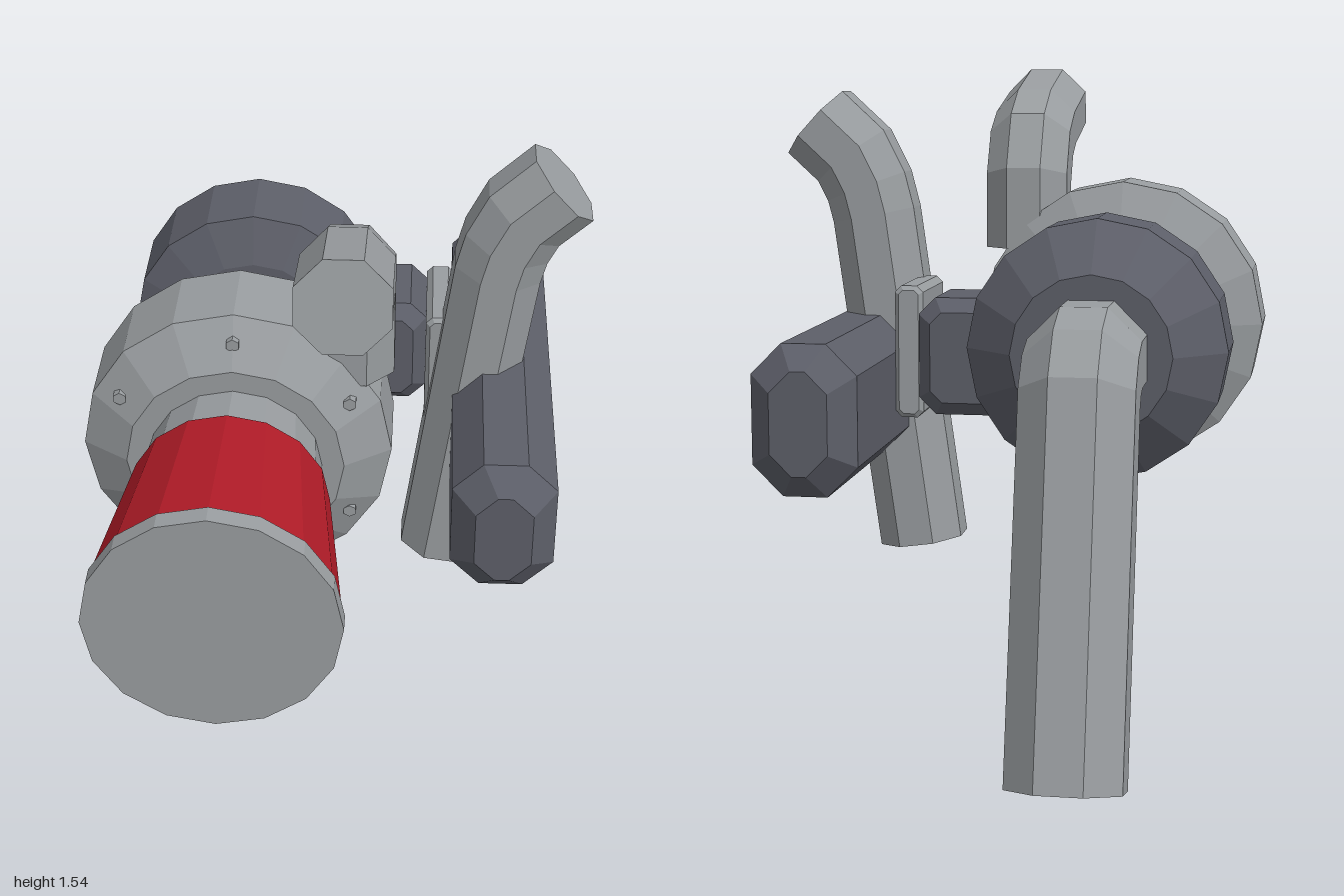
import * as THREE from 'three';

const mat = (name, color) => {
  const m = new THREE.MeshStandardMaterial({ color, flatShading: true });
  m.name = name;
  return m;
};

const AXIS_X = -0.225, AXIS_Y = 0.908;

// Skin a list of equal-sized rings and close both ends
function loft(rings) {
  const n = rings[0].length, pos = [], idx = [];
  rings.forEach(r => r.forEach(p => pos.push(p.x, p.y, p.z)));
  for (let i = 0; i < rings.length - 1; i++) {
    for (let j = 0; j < n; j++) {
      const a = i * n + j, b = i * n + (j + 1) % n;
      idx.push(a, b, b + n, a, b + n, a + n);
    }
  }
  const last = (rings.length - 1) * n;
  for (let j = 1; j < n - 1; j++) {
    idx.push(0, j + 1, j, last, last + j, last + j + 1);
  }
  const g = new THREE.BufferGeometry();
  g.setAttribute('position', new THREE.Float32BufferAttribute(pos, 3));
  g.setIndex(idx);
  const flat = g.toNonIndexed();
  flat.computeVertexNormals();
  return flat;
}

// Octagonal pipe along a path lying in the plane with the given normal
function pipe(path, planeNormal, apothem) {
  const pts = path.map(p => new THREE.Vector3(...p));
  const r = apothem / Math.cos(Math.PI / 8);
  const dir = i => pts[i + 1].clone().sub(pts[i]).normalize();
  return loft(pts.map((p, i) => {
    const before = dir(Math.max(i - 1, 0)), after = dir(Math.min(i, pts.length - 2));
    const t = before.clone().add(after).normalize();
    const miter = 1 / t.dot(after);
    const side = planeNormal.clone().cross(t);
    return Array.from({ length: 8 }, (_, k) => {
      const a = (k + 0.5) * Math.PI / 4;
      return p.clone().addScaledVector(side, r * Math.cos(a) * miter)
        .addScaledVector(planeNormal, r * Math.sin(a));
    });
  }));
}

// Box with all edges cut, given its limits
function chamferBox(x0, x1, y0, y1, z0, z1, cut, inset) {
  const ring = (d, c, z) => {
    const a = x0 + d, b = x1 - d, e = y0 + d, f = y1 - d;
    return [[a + c, e], [b - c, e], [b, e + c], [b, f - c], [b - c, f], [a + c, f], [a, f - c], [a, e + c]]
      .map(([x, y]) => new THREE.Vector3(x, y, z));
  };
  return loft([
    ring(inset, cut * 0.7, z0), ring(0, cut, z0 + inset),
    ring(0, cut, z1 - inset), ring(inset, cut * 0.7, z1),
  ]);
}

// Turned part about the main axis; profile is [radius, z] from back to front
function turned(profile, sides = 16) {
  const g = new THREE.LatheGeometry(profile.map(([r, z]) => new THREE.Vector2(r, z)), sides);
  g.rotateX(Math.PI / 2);
  g.translate(AXIS_X, AXIS_Y, 0);
  return g;
}

export function createModel() {
  const group = new THREE.Group();
  const light = mat('light metal', 0x999da0);
  const dark = mat('dark metal', 0x5d5f69);
  const red = mat('red', 0xb31c28);
  const black = mat('blackened steel', 0x262d34);

  const add = (name, geometry, material) => {
    const m = new THREE.Mesh(geometry, material);
    m.name = name;
    group.add(m);
    return m;
  };

  // Housings on the main axis
  add('frontHousing', turned([[0, 0.1], [0.215, 0.1], [0.357, 0.167], [0.357, 0.36], [0.25, 0.43], [0, 0.43]]), light);
  add('rearHousing', turned([[0, -0.485], [0.185, -0.485], [0.303, -0.375], [0.303, -0.18], [0.19, -0.138], [0, -0.138]]), dark);

  // Octagonal shaft joining the housings
  add('shaft', pipe([[AXIS_X, AXIS_Y, -0.2], [AXIS_X, AXIS_Y, 0.15]], new THREE.Vector3(1, 0, 0), 0.13), black);

  // Intake neck, red sleeve and end cap
  add('intakeNeck', turned([[0, 0.4], [0.197, 0.4], [0.21, 0.565], [0, 0.565]]), light);
  add('intakeSleeve', turned([[0, 0.56], [0.224, 0.56], [0.27, 0.955], [0, 0.955]]), red);
  add('intakeCap', turned([[0, 0.955], [0.275, 0.955], [0.275, 1], [0, 1]]), light);

  // Bolts around the front housing
  for (let i = 0; i < 6; i++) {
    const a = Math.PI / 6 + i * Math.PI / 3;
    const g = new THREE.CylinderGeometry(0.016, 0.016, 0.06, 6);
    g.rotateX(Math.PI / 2);
    g.translate(AXIS_X + 0.302 * Math.cos(a), AXIS_Y + 0.302 * Math.sin(a), 0.373);
    add('housingBolt', g, light);
  }

  // Bent pipes
  const acrossX = new THREE.Vector3(1, 0, 0), acrossZ = new THREE.Vector3(0, 0, 1);
  add('exhaustPipe', pipe([
    [AXIS_X, 0.908, -0.4], [AXIS_X, 0.908, -0.59], [AXIS_X, 0.89, -0.64],
    [AXIS_X, 0.847, -0.677], [AXIS_X, 0.035, -0.879],
  ], acrossX, 0.127), light);
  add('outletPipe', pipe([
    [0.03, 1.09, 0.265], [0.03, 1.27, 0.268], [0.03, 1.355, 0.315],
    [0.03, 1.395, 0.393], [0.03, 1.444, 0.608],
  ], acrossX, 0.104), light);
  add('sidePipe', pipe([
    [0.257, 0.37, -0.007], [0.371, 1.19, -0.007], [0.389, 1.26, -0.007],
    [0.427, 1.335, -0.007], [0.516, 1.417, -0.007],
  ], acrossZ, 0.103), light);

  // Side canister, mounting block and link plate
  add('sideCanister', chamferBox(0.273, 0.515, 0.602, 0.947, -0.705, 0.52, 0.07, 0.055), dark);
  add('mountingBlock', chamferBox(-0.1, 0.206, 0.737, 1.015, -0.332, -0.078, 0.04, 0.032), dark);
  add('linkPlate', chamferBox(0.205, 0.273, 0.72, 1.037, -0.265, 0, 0.015, 0.01), light);

  return group;
}
